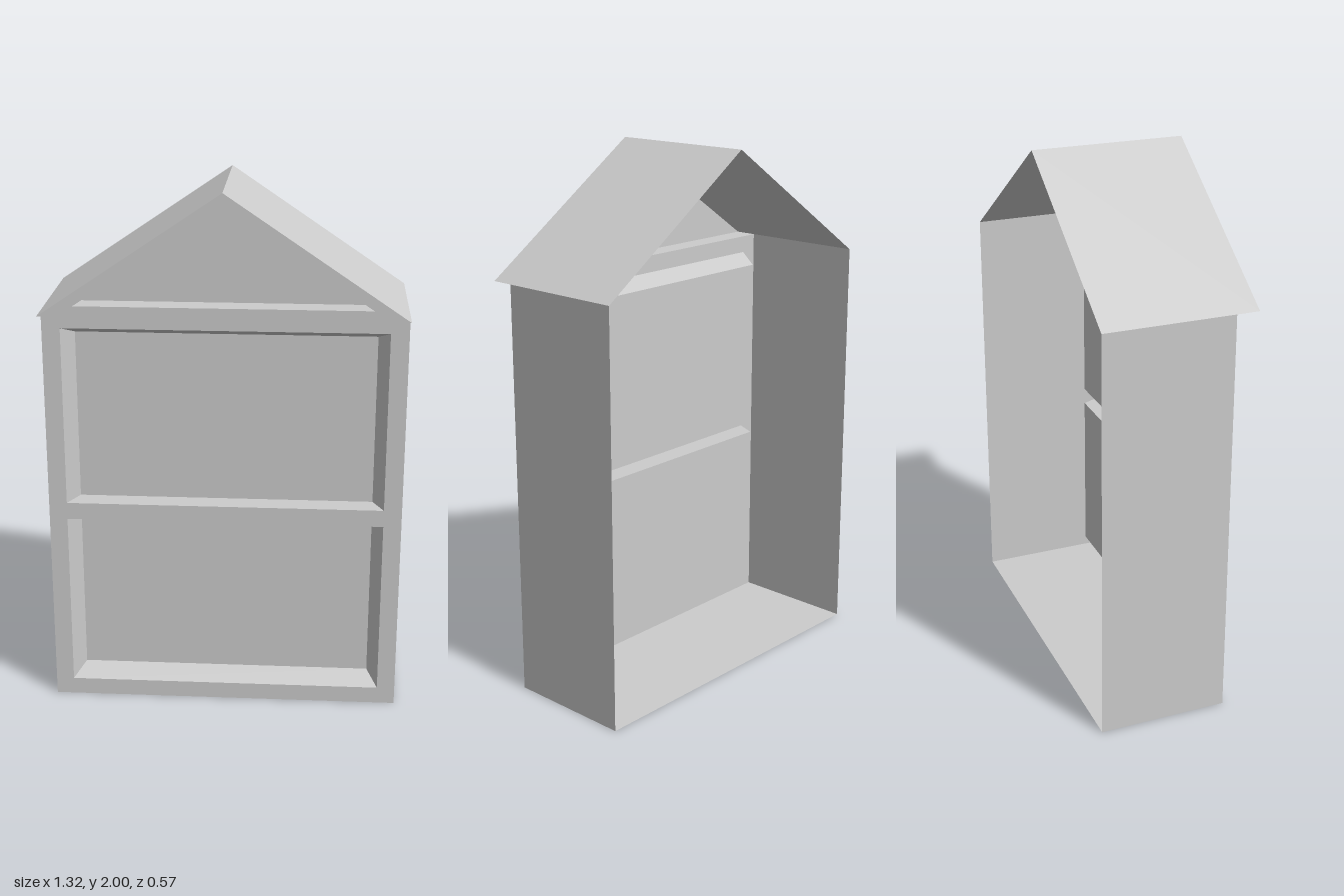
import * as THREE from 'three';

const W = 0.66, EAVE = 1.555, RIDGE = 2;             // half width, eave and ridge heights
const BACK = -0.285, WALL = 0.2, GABLE = 0.285;      // z of open back, front wall, gable front
const PANEL = 0.115;                                 // z of the recessed body panels

const material = new THREE.MeshStandardMaterial({
  color: 0xcccccc, flatShading: true, side: THREE.DoubleSide,
});

const points = (list) => list.map(([x, y]) => new THREE.Vector2(x, y));
const rect = (x, y0, y1) => [[-x, y0], [x, y0], [x, y1], [-x, y1]];

// Flat sheet facing +z, with optional holes
function sheet(outline, z, holes = []) {
  const shape = new THREE.Shape(points(outline));
  for (const hole of holes) shape.holes.push(new THREE.Path(points(hole)));
  return new THREE.ShapeGeometry(shape).translate(0, 0, z);
}

// Strip of faces joining a front path to a matching path behind it
function loft(front, zFront, back, zBack, closed = false) {
  const positions = [];
  const n = front.length;
  for (let i = 0; i < (closed ? n : n - 1); i++) {
    const j = (i + 1) % n;
    const a = [...front[i], zFront], b = [...front[j], zFront];
    const c = [...back[j], zBack], d = [...back[i], zBack];
    positions.push(...a, ...b, ...c, ...a, ...c, ...d);
  }
  const geometry = new THREE.BufferGeometry();
  geometry.setAttribute('position', new THREE.Float32BufferAttribute(positions, 3));
  geometry.computeVertexNormals();
  return geometry;
}

export function createModel() {
  const model = new THREE.Group();
  model.name = 'gabledCabinet';

  const add = (name, geometry, parent = model) => {
    const mesh = new THREE.Mesh(geometry, material);
    mesh.name = name;
    parent.add(mesh);
  };

  // Recess: rim walls plus the panel closing it
  const addRecess = (name, opening, zFront, panel, zPanel) => {
    const group = new THREE.Group();
    group.name = name;
    add(name + 'Rim', loft(opening, zFront, panel, zPanel, true), group);
    add(name + 'Panel', sheet(panel, zPanel), group);
    model.add(group);
  };

  // Side walls and floor, open at the back
  const shell = [[W, EAVE], [W, 0], [-W, 0], [-W, EAVE]];
  add('sideWallsAndFloor', loft(shell, WALL, shell, BACK));

  // Front wall with two openings split by a middle rail
  const lower = rect(0.593, 0.065, 0.745);
  const upper = rect(0.593, 0.81, 1.49);
  add('frontFrame', sheet(rect(W, 0, EAVE), WALL, [lower, upper]));
  addRecess('lowerRecess', lower, WALL, rect(0.553, 0.1, 0.745), PANEL);
  addRecess('upperRecess', upper, WALL, rect(0.553, 0.81, 1.455), PANEL);

  // Roof slopes and the soffit under the front overhang
  const slopes = [[-W, EAVE], [0, RIDGE], [W, EAVE]];
  add('roof', loft(slopes, GABLE, slopes, BACK));
  const eaveLine = [[W, EAVE], [-W, EAVE]];
  add('soffit', loft(eaveLine, GABLE, eaveLine, WALL));

  // Gable frame with a triangular recess
  const triangle = [[-0.53, 1.595], [0.53, 1.595], [0, 1.955]];
  add('gableFrame', sheet([[-W, EAVE], [W, EAVE], [0, RIDGE]], GABLE, [triangle]));
  addRecess('gableRecess', triangle, GABLE, triangle, WALL);

  return model;
}
